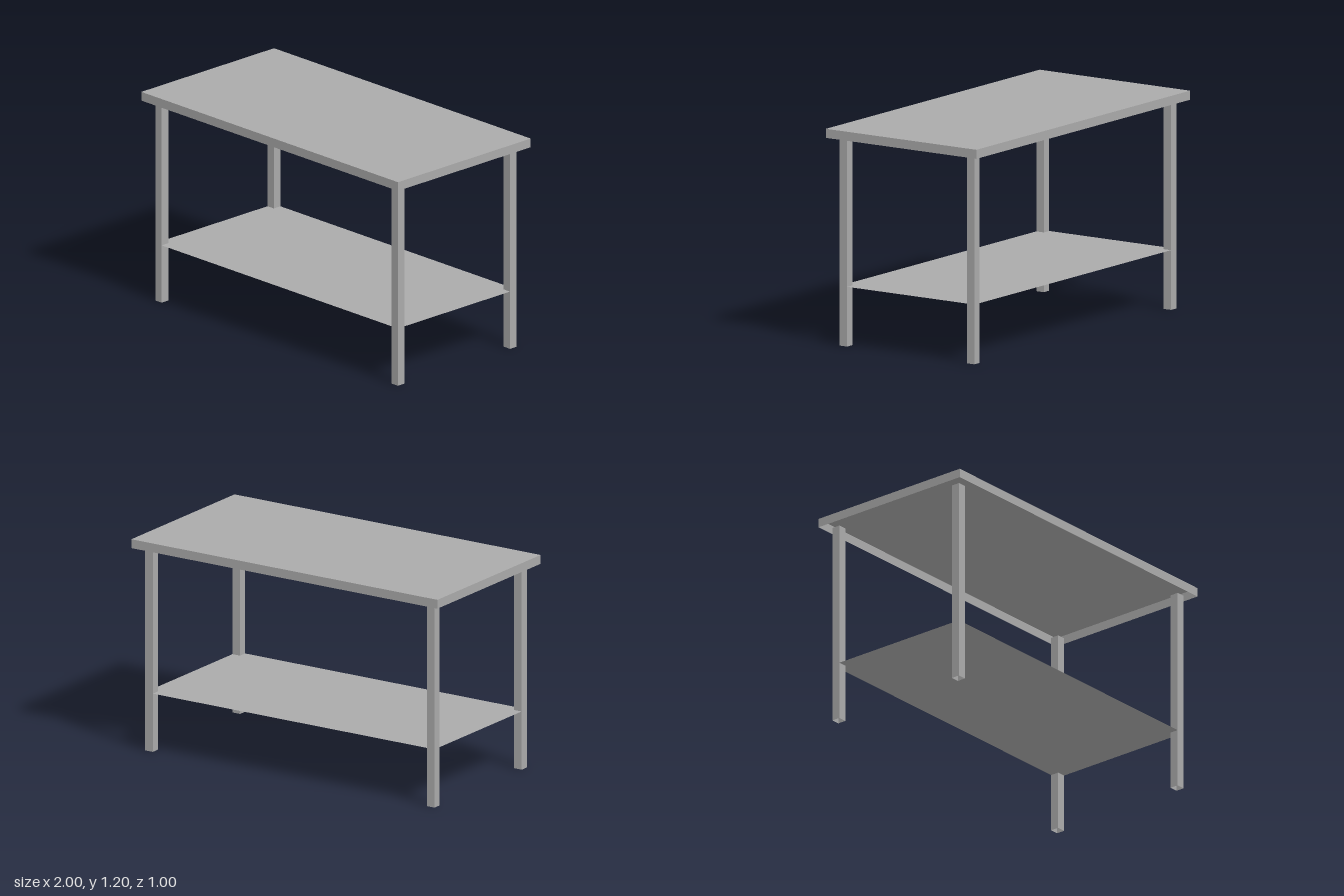
import * as THREE from 'three';

export function createModel() {
  const table = new THREE.Group();
  table.name = 'workTable';
  const steel = new THREE.MeshStandardMaterial({ color: 0xaaaaaa, side: THREE.DoubleSide });
  steel.name = 'grey steel';

  const add = (name, geometry, x, y, z, parent = table) => {
    const mesh = new THREE.Mesh(geometry, steel);
    mesh.name = name;
    mesh.position.set(x, y, z);
    parent.add(mesh);
    return mesh;
  };
  // Horizontal sheet facing up
  const sheet = (w, d) => new THREE.PlaneGeometry(w, d).rotateX(-Math.PI / 2);

  // Four upright walls without a top or bottom
  const walls = (name, w, h, d, x, y, z) => {
    const group = new THREE.Group();
    group.name = name;
    group.position.set(x, y, z);
    for (let i = 0; i < 4; i++) {
      const across = i % 2 === 0;
      const wall = new THREE.PlaneGeometry(across ? w : d, h);
      wall.translate(0, 0, (across ? d : w) / 2).rotateY(i * Math.PI / 2);
      add(name + 'Wall', wall, 0, 0, 0, group);
    }
    table.add(group);
  };

  // Sheet top with a folded-down rim, open underneath
  add('tableTop', sheet(2, 1), 0, 1.2, 0);
  walls('topRim', 2, 0.05, 1, 0, 1.175, 0);

  // Hollow square legs
  for (const sx of [-1, 1]) {
    for (const sz of [-1, 1]) {
      const name = (sz > 0 ? 'front' : 'back') + (sx > 0 ? 'Left' : 'Right') + 'Leg';
      walls(name, 0.05, 1.15, 0.05, sx * 0.92, 0.575, sz * 0.4225);
    }
  }

  // Thin lower shelf reaching the outer faces of the legs
  add('lowerShelf', sheet(1.89, 0.895), 0, 0.33, 0);

  return table;
}
